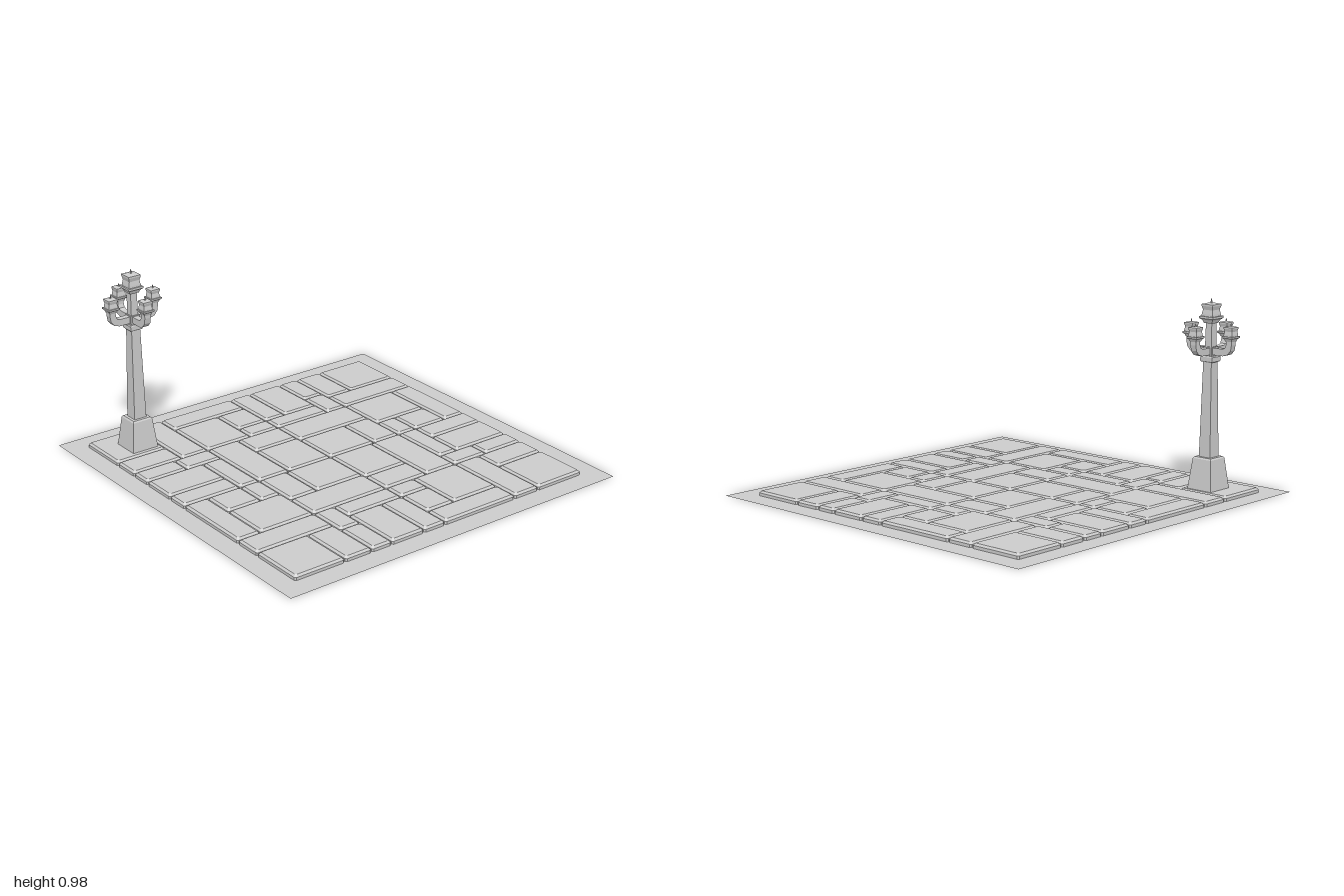
import * as THREE from 'three';

const stone = new THREE.MeshStandardMaterial({ color: 0xcccccc, flatShading: true });
const groundMaterial = new THREE.MeshStandardMaterial({ color: 0xcccccc, side: THREE.DoubleSide });

// Rectangle outline, anticlockwise from above, with optional cut corners
function outline(hx, hz, cut) {
  if (!cut) return [[hx, hz], [hx, -hz], [-hx, -hz], [-hx, hz]];
  return [
    [hx, hz - cut], [hx, cut - hz], [hx - cut, -hz], [cut - hx, -hz],
    [-hx, cut - hz], [-hx, hz - cut], [cut - hx, hz], [hx - cut, hz],
  ];
}

// Solid through rectangular sections [y, halfX, halfZ], listed bottom to top
function loft(name, sections, { cut = 0, bottom = true } = {}) {
  const positions = [];
  const index = [];
  for (const [y, hx, hz = hx] of sections) {
    for (const [x, z] of outline(hx, hz, cut)) positions.push(x, y, z);
  }
  const n = cut ? 8 : 4;
  for (let i = 0; i < sections.length - 1; i++) {
    for (let j = 0; j < n; j++) {
      const a = i * n + j, b = i * n + (j + 1) % n;
      index.push(a, b, b + n, a, b + n, a + n);
    }
  }
  const top = (sections.length - 1) * n;
  for (let j = 1; j < n - 1; j++) {
    index.push(top, top + j, top + j + 1);
    if (bottom) index.push(0, j + 1, j);
  }
  const geometry = new THREE.BufferGeometry();
  geometry.setAttribute('position', new THREE.Float32BufferAttribute(positions, 3));
  geometry.setIndex(index);
  const flat = geometry.toNonIndexed();
  flat.computeVertexNormals();
  const mesh = new THREE.Mesh(flat, stone);
  mesh.name = name;
  return mesh;
}

// Paving plan: each block is cut in two along x or z, then the halves again
const X = (at, a, b) => ({ axis: 'x', at, a, b });
const Z = (at, a, b) => ({ axis: 'z', at, a, b });
const edgesX = [-0.892, -0.447, -0.002, 0.443, 0.888];
const edgesZ = [-0.895, -0.452, -0.005, 0.44, 0.888];
const blocks = [
  [
    X(-0.603, Z(-0.603)),
    Z(-0.758, null, X(-0.178, null, Z(-0.562))),
    X(0.323, Z(-0.562, X(0.123)), Z(-0.657)),
    Z(-0.603, X(0.598)),
  ],
  [
    Z(-0.332, X(-0.652), X(-0.562, Z(-0.132))),
    X(-0.262, null, Z(-0.288)),
    Z(-0.262, null, X(0.283)),
    X(0.757, Z(-0.182, null, X(0.557))),
  ],
  [
    X(-0.757, null, Z(0.172, X(-0.562))),
    Z(0.253, X(-0.283)),
    X(0.258, Z(0.278)),
    Z(0.323, X(0.557, null, Z(0.127)), X(0.652)),
  ],
  [
    Z(0.593, null, X(-0.603)),
    X(-0.328, Z(0.648), Z(0.557, null, X(-0.132))),
    Z(0.752, X(0.168, Z(0.557))),
    X(0.597, null, Z(0.593)),
  ],
];

function pave(group, plan, x0, x1, z0, z1) {
  if (plan) {
    const { axis, at, a, b } = plan;
    if (axis === 'x') {
      pave(group, a, x0, at, z0, z1);
      pave(group, b, at, x1, z0, z1);
    } else {
      pave(group, a, x0, x1, z0, at);
      pave(group, b, x0, x1, at, z1);
    }
    return;
  }
  const hx = (x1 - x0) / 2 - 0.003, hz = (z1 - z0) / 2 - 0.003;
  const tile = loft('pavingStone', [
    [0, hx, hz], [0.015, hx, hz], [0.025, hx - 0.01, hz - 0.01],
  ], { cut: 0.008, bottom: false });
  tile.position.set((x0 + x1) / 2, 0, (z0 + z1) / 2);
  group.add(tile);
}

// Cup, waisted square lantern, low roof and spike, standing on y = 0
function lantern(scale) {
  const group = new THREE.Group();
  group.name = 'lantern';
  group.add(
    loft('lanternCup', [[0, 0.019], [0.012, 0.024], [0.018, 0.032], [0.026, 0.032]]),
    loft('lanternGlass', [
      [0.02, 0.026], [0.034, 0.025], [0.05, 0.022], [0.064, 0.026], [0.071, 0.026], [0.075, 0.01],
    ]),
    loft('lanternSpike', [[0.074, 0.003], [0.09, 0.001]]),
  );
  group.scale.setScalar(scale);
  return group;
}

// Bracket reaching out along +x and bending upward
function arm() {
  const shape = new THREE.Shape([
    [0, 0.706], [0.088, 0.706], [0.118, 0.716], [0.135, 0.737], [0.14, 0.765], [0.14, 0.788],
    [0.108, 0.788], [0.107, 0.765], [0.1, 0.748], [0.085, 0.741], [0, 0.741],
  ].map(([x, y]) => new THREE.Vector2(x, y)));
  const geometry = new THREE.ExtrudeGeometry(shape, { depth: 0.034, bevelEnabled: false });
  geometry.translate(0, 0, -0.017);
  const mesh = new THREE.Mesh(geometry, stone);
  mesh.name = 'lampArm';
  return mesh;
}

function lampPost() {
  const group = new THREE.Group();
  group.name = 'lampPost';
  group.add(
    loft('pedestal', [[0.015, 0.075], [0.18, 0.056], [0.188, 0.05]]),
    loft('shaft', [[0.18, 0.035], [0.68, 0.025]]),
    loft('collar', [[0.668, 0.032], [0.674, 0.036], [0.694, 0.036], [0.7, 0.032]]),
    loft('armHub', [[0.69, 0.026], [0.745, 0.026]]),
    loft('upperStem', [[0.74, 0.02], [0.865, 0.018]]),
  );
  for (let i = 0; i < 4; i++) {
    const branch = new THREE.Group();
    branch.name = 'lampBranch';
    const lamp = lantern(1);
    lamp.position.set(0.123, 0.782, 0);
    branch.add(arm(), lamp);
    branch.rotation.y = i * Math.PI / 2;
    group.add(branch);
  }
  const topLamp = lantern(1.33);
  topLamp.position.y = 0.862;
  group.add(topLamp);
  group.position.set(-0.702, 0, -0.71);
  return group;
}

export function createModel() {
  const model = new THREE.Group();
  model.name = 'pavedPlazaWithLamp';

  const ground = new THREE.Mesh(new THREE.PlaneGeometry(2, 2), groundMaterial);
  ground.name = 'ground';
  ground.rotation.x = -Math.PI / 2;
  model.add(ground);

  const paving = new THREE.Group();
  paving.name = 'paving';
  blocks.forEach((row, r) => row.forEach((plan, c) => {
    pave(paving, plan, edgesX[c], edgesX[c + 1], edgesZ[r], edgesZ[r + 1]);
  }));
  model.add(paving, lampPost());
  return model;
}
